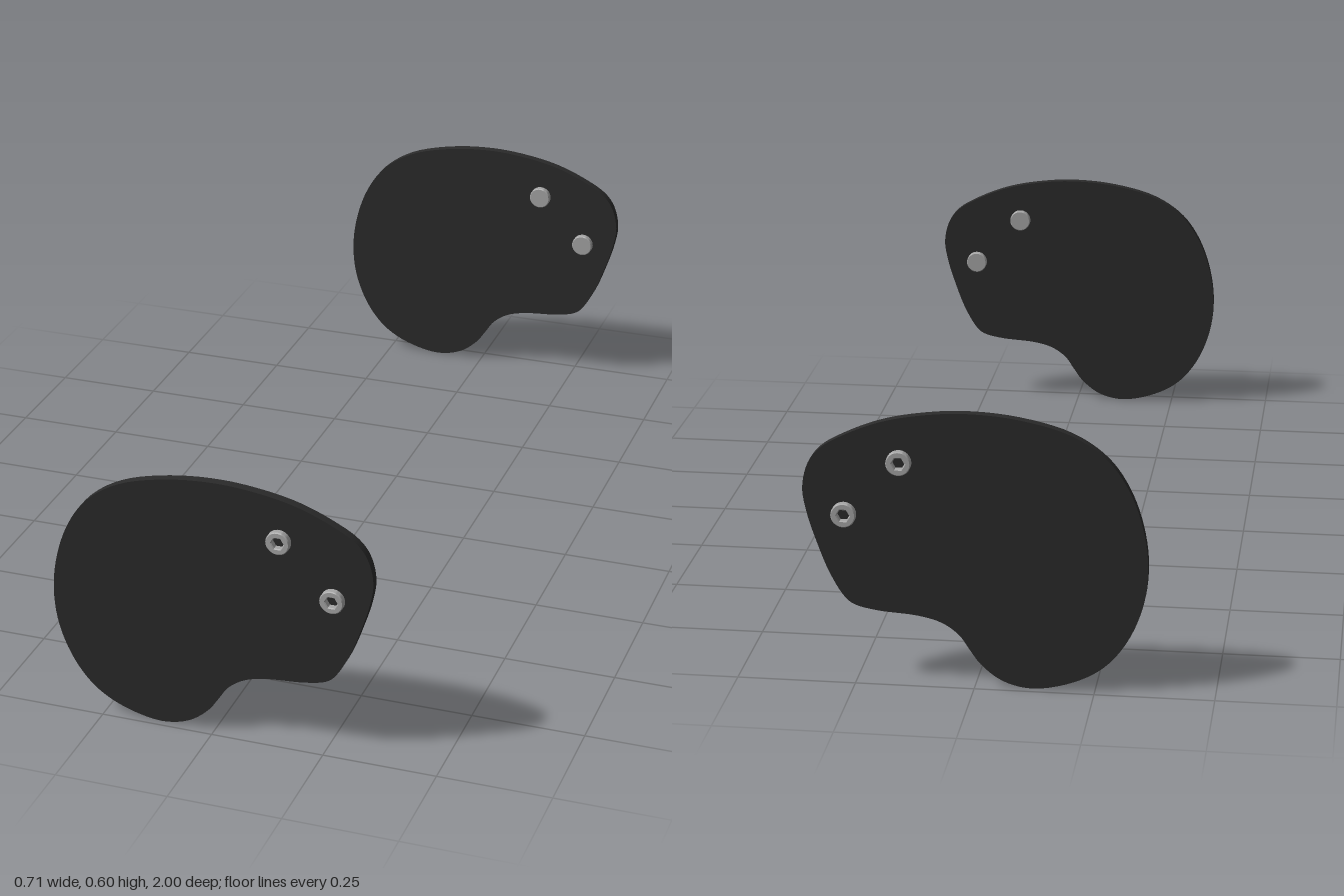
import * as THREE from 'three';
import { toCreasedNormals } from 'three/addons/utils/BufferGeometryUtils.js';

const PLATE_Z = 0.974, THICK = 0.02, BOLT_R = 0.026, BOLT_H = 0.016, BEVEL = 0.002;

// Plate outline, clockwise from the top
const OUTLINE = [
  [0.02, 0.596], [0.115, 0.588], [0.194, 0.571], [0.27, 0.54], [0.318, 0.511], [0.343, 0.479],
  [0.356, 0.425], [0.349, 0.374], [0.328, 0.305], [0.301, 0.236], [0.27, 0.185],
  [0.251, 0.171], [0.204, 0.16], [0.118, 0.152], [0.07, 0.139], [0.034, 0.114],
  [0.012, 0.083], [-0.012, 0.05], [-0.058, 0.015], [-0.121, 0.001], [-0.207, 0.02],
  [-0.269, 0.056], [-0.316, 0.114], [-0.349, 0.196], [-0.358, 0.28], [-0.347, 0.364],
  [-0.318, 0.445], [-0.274, 0.508], [-0.202, 0.557], [-0.093, 0.587],
];
const BOLTS = [[0.154, 0.488], [0.27, 0.371]];

function circlePoints(radius, sides) {
  return Array.from({ length: sides }, (_, i) => {
    const a = (i / sides) * Math.PI * 2;
    return new THREE.Vector2(Math.cos(a) * radius, Math.sin(a) * radius);
  });
}

function plateGeometry() {
  const curve = new THREE.CatmullRomCurve3(OUTLINE.map(([x, y]) => new THREE.Vector3(x, y, 0)), true);
  const shape = new THREE.Shape(curve.getPoints(150).slice(0, -1).map(p => new THREE.Vector2(p.x, p.y)));
  const geo = new THREE.ExtrudeGeometry(shape, { depth: THICK, bevelEnabled: false });
  geo.translate(0, 0, -THICK / 2);
  return toCreasedNormals(geo, 0.6);
}

// Round head rising along +z from the plate face, optionally with a hex socket
function headGeometry(socket) {
  const shape = new THREE.Shape(circlePoints(BOLT_R, 40));
  if (socket) shape.holes.push(new THREE.Path(circlePoints(0.0135, 6)));
  const geo = new THREE.ExtrudeGeometry(shape, {
    depth: BOLT_H - 2 * BEVEL, bevelThickness: BEVEL, bevelSize: BEVEL,
    bevelOffset: -BEVEL, bevelSegments: 1,
  });
  geo.translate(0, 0, THICK / 2 + BEVEL);
  return toCreasedNormals(geo, 0.5);
}

export function createModel() {
  const model = new THREE.Group();
  model.name = 'sidePlatePair';
  const black = new THREE.MeshStandardMaterial({ color: 0x2a2a2a });
  black.name = 'black plate';
  const steel = new THREE.MeshStandardMaterial({ color: 0xa6a6a6 });
  steel.name = 'steel';

  const plateGeo = plateGeometry();
  const socketGeo = headGeometry(true);
  const capGeo = headGeometry(false);

  for (const side of [1, -1]) {
    const group = new THREE.Group();
    group.name = side > 0 ? 'frontAssembly' : 'backAssembly';
    group.position.z = side * PLATE_Z;

    const plate = new THREE.Mesh(plateGeo, black);
    plate.name = 'plate';
    group.add(plate);

    // Socket heads face outward, plain caps face inward
    for (const [x, y] of BOLTS) {
      const bolt = new THREE.Group();
      bolt.name = 'bolt';
      bolt.position.set(x, y, 0);
      bolt.rotation.y = side > 0 ? 0 : Math.PI;
      const head = new THREE.Mesh(socketGeo, steel);
      head.name = 'socketHead';
      const cap = new THREE.Mesh(capGeo, steel);
      cap.name = 'innerCap';
      cap.rotation.y = Math.PI;
      bolt.add(head, cap);
      group.add(bolt);
    }
    model.add(group);
  }
  return model;
}
